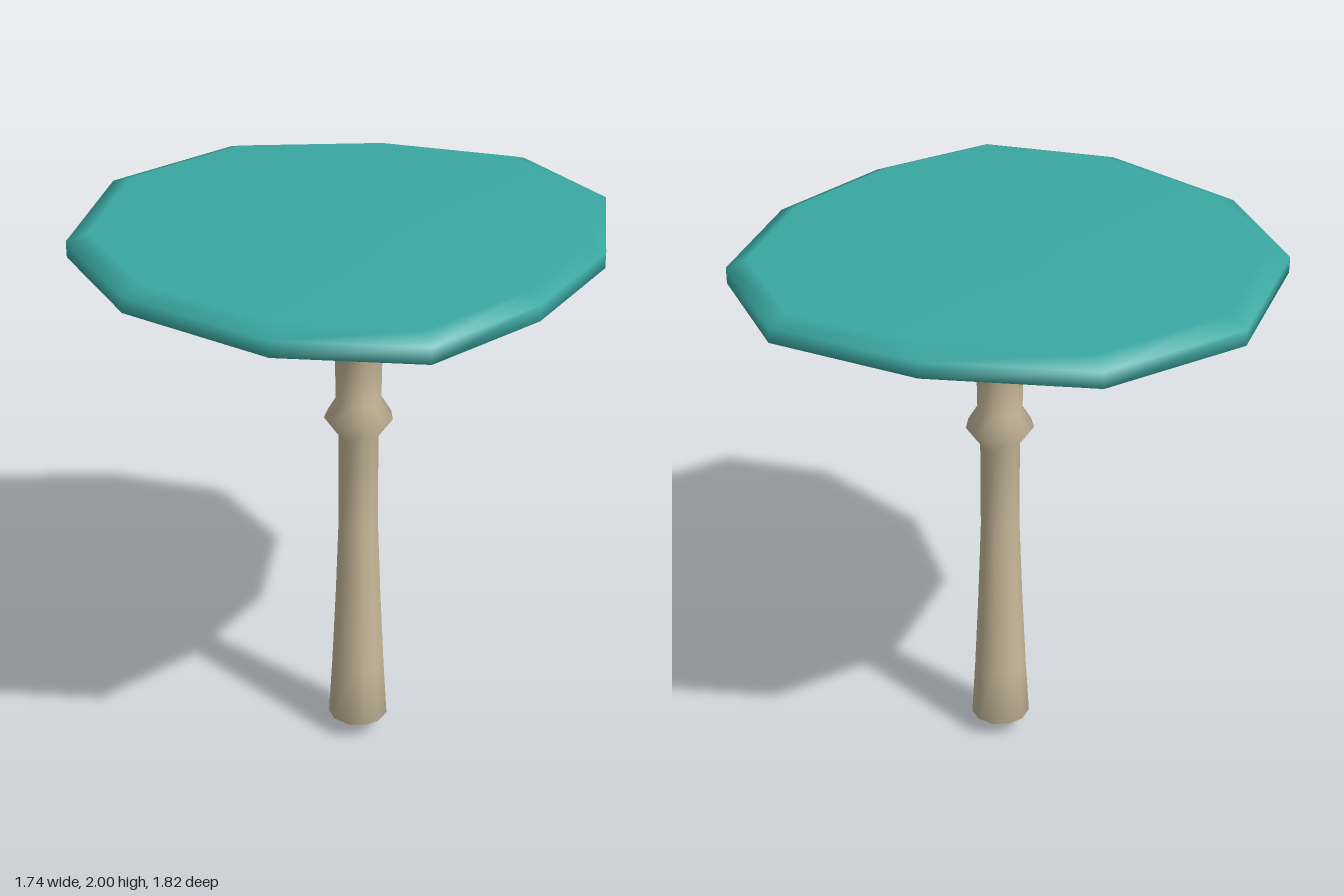
import * as THREE from 'three';

// Stem axis and the irregular rim outline (x, z), seen from above
const AXIS = [0.06, 0.01];
const RIM = [
  [-0.07, -0.91], [0.39, -0.83], [0.72, -0.46], [0.865, 0], [0.865, 0.46], [0.51, 0.78],
  [-0.04, 0.905], [-0.52, 0.77], [-0.87, 0.32], [-0.87, -0.21], [-0.52, -0.64],
].map(([x, z]) => [x - AXIS[0], z - AXIS[1]]);
const N = RIM.length;

// Round cross-section about the stem axis
const round = (y, r) => RIM.map(([x, z]) => {
  const k = r / Math.hypot(x, z);
  return [AXIS[0] + x * k, y, AXIS[1] + z * k];
});
// Cross-section that follows the rim outline
const outline = (y, s) => RIM.map(([x, z]) => [AXIS[0] + x * s, y, AXIS[1] + z * s]);
// Uneven edge of the coloured border, lying on the sloping underside
const border = () => RIM.map(([x, z], i) => {
  const s = 0.953 + 0.017 * Math.sin(i * 2.3 + 1);
  return [AXIS[0] + x * s, 1.81 + (s - 0.7) / 0.3 * 0.11, AXIS[1] + z * s];
});

export function createModel() {
  const group = new THREE.Group();
  const tan = new THREE.MeshStandardMaterial({ color: 0xc8b99a });
  tan.name = 'tan';
  const teal = new THREE.MeshStandardMaterial({ color: 0x3aa8a2 });
  teal.name = 'teal';

  const rings = [
    // stem: pointed foot, tapering shaft, collar and flared neck
    round(0.005, 0), round(0.08, 0.108), round(0.3, 0.095), round(0.6, 0.081),
    round(0.9, 0.07), round(1.23, 0.07), round(1.3, 0.12), round(1.37, 0.079),
    round(1.62, 0.083), round(1.72, 0.165),
    // underside of the cap
    round(1.745, 0.375), outline(1.81, 0.7), border(),
    // rim and flat top
    outline(1.92, 1), outline(1.975, 1), outline(2, 0.925), round(2, 0),
  ];

  // One shared skin keeps the shading continuous across the parts
  const strip = (from, to) => {
    const index = [];
    for (let j = from; j < to; j++) {
      for (let i = 0; i < N; i++) {
        const a = j * N + i, b = j * N + (i + 1) % N;
        if (j > 0) index.push(a, a + N, b);
        else index.push(a, a + N, b + N);
        if (j > 0 && j < rings.length - 2) index.push(b, a + N, b + N);
      }
    }
    return index;
  };
  const skin = new THREE.BufferGeometry();
  skin.setAttribute('position', new THREE.Float32BufferAttribute(rings.flat(2), 3));
  skin.setIndex(strip(0, rings.length - 1));
  skin.computeVertexNormals();

  const addPart = (name, material, from, to) => {
    const geometry = skin.clone().setIndex(strip(from, to));
    const mesh = new THREE.Mesh(geometry, material);
    mesh.name = name;
    group.add(mesh);
  };
  addPart('stem', tan, 0, 9);
  addPart('capUnderside', tan, 9, 12);
  addPart('capTop', teal, 12, rings.length - 1);
  return group;
}
